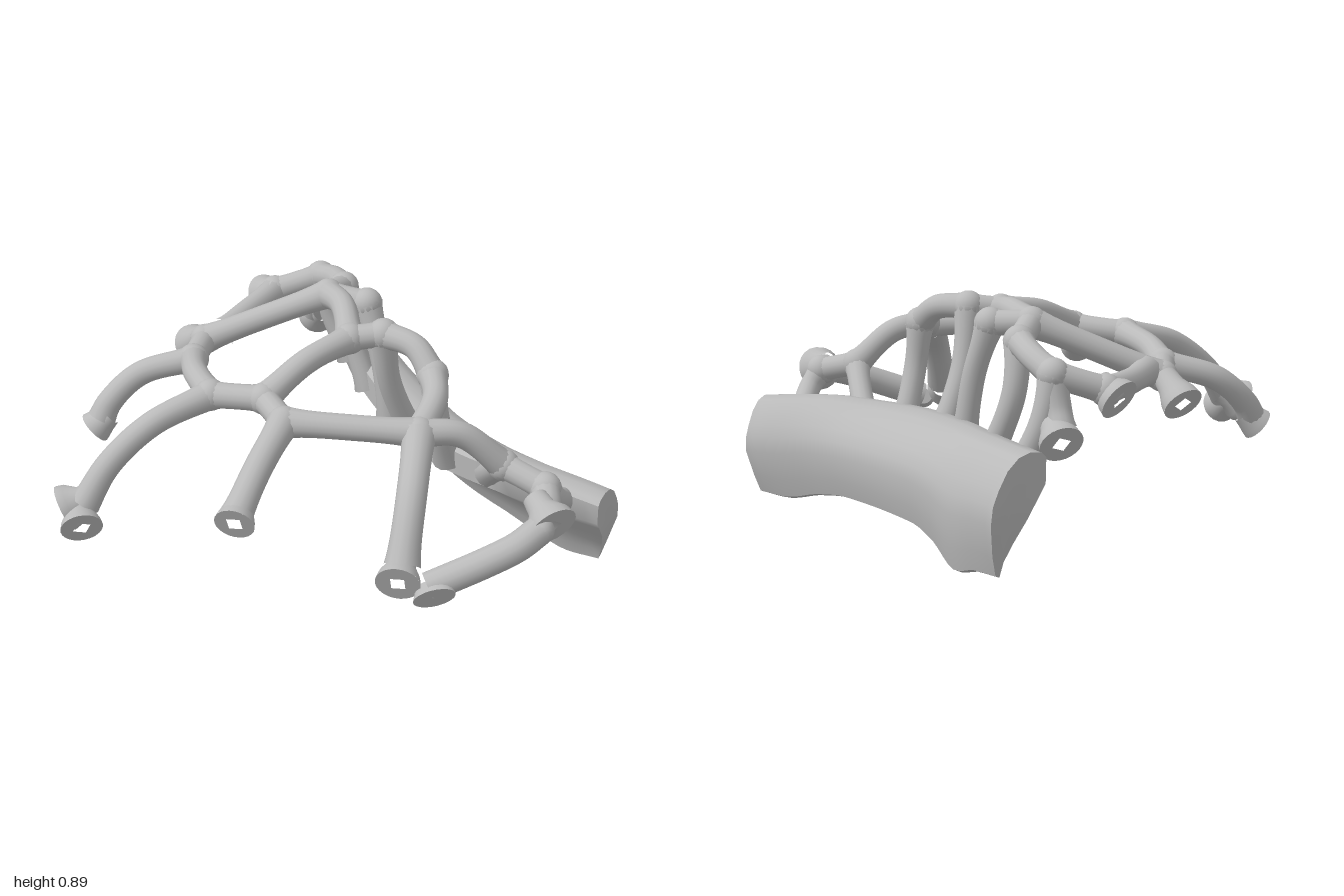
import * as THREE from 'three';
import { toCreasedNormals } from 'three/addons/utils/BufferGeometryUtils.js';

const V = (p) => new THREE.Vector3(...p);
const R = 0.046;
const SWELL = 0.26;

export function createModel() {
  const grey = new THREE.MeshStandardMaterial({ color: 0xbababa });
  grey.name = 'grey';
  const model = new THREE.Group();
  const add = (geo, name, parent = model) => {
    const m = new THREE.Mesh(geo, grey);
    m.name = name;
    parent.add(m);
    return m;
  };

  // Round strut along a smooth path, swelling where it meets its neighbours
  function strut(name, points, r = R, flare = SWELL) {
    const path = new THREE.CatmullRomCurve3(points.map(V), false, 'centripetal');
    const seg = 28, sides = 14;
    const geo = new THREE.TubeGeometry(path, seg, r, sides);
    const pos = geo.attributes.position, v = new THREE.Vector3();
    for (let i = 0; i <= seg; i++) {
      const c = path.getPointAt(i / seg);
      const k = 1 + flare * Math.pow(Math.abs(2 * i / seg - 1), 4);
      for (let j = 0; j <= sides; j++) {
        const n = i * (sides + 1) + j;
        v.fromBufferAttribute(pos, n).sub(c).multiplyScalar(k).add(c);
        pos.setXYZ(n, v.x, v.y, v.z);
      }
    }
    add(geo, name);
  }

  // Flared foot with a flat end and a square socket
  function foot(name, end, dir, r = 0.07, len = 0.1) {
    const g = new THREE.Group();
    g.name = name;
    const bell = new THREE.LatheGeometry([
      [R * 0.95, -len], [R * 1.1, -len * 0.6], [r * 0.92, -len * 0.25], [r, 0],
    ].map(p => new THREE.Vector2(...p)), 20);
    add(bell, 'footBell', g);
    const face = new THREE.Shape().absarc(0, 0, r, 0, Math.PI * 2);
    const h = 0.024;
    face.holes.push(new THREE.Path([[-h, -h], [-h, h], [h, h], [h, -h]].map(p => new THREE.Vector2(...p))));
    add(new THREE.ShapeGeometry(face, 12).rotateX(-Math.PI / 2), 'footFace', g);
    g.position.set(...end);
    g.quaternion.setFromUnitVectors(new THREE.Vector3(0, 1, 0), V(dir).normalize());
    model.add(g);
  }

  // Blade-shaped curved beam, lofted between its inner and outer edges
  const curve = (pts) => new THREE.CatmullRomCurve3(pts.map(V));
  const inner = curve([[-0.18, 0, -0.8], [-0.06, 0, -0.52], [0.09, 0, -0.2], [0.28, 0, 0.08], [0.56, 0, 0.28], [0.92, 0, 0.44]]);
  const outer = curve([[0, 0, -0.945], [0.16, 0, -0.64], [0.32, 0, -0.36], [0.51, 0, -0.11], [0.75, 0, 0.11], [1, 0, 0.23]]);
  // Bottom and top heights at even steps along the beam
  const heights = curve([
    [0.07, 0.5], [0.05, 0.49], [0.01, 0.48], [0.07, 0.47], [0.1, 0.465], [0.1, 0.46],
    [0.1, 0.455], [0.1, 0.45], [0.08, 0.45], [0.05, 0.44], [0.06, 0.42],
  ].map(([low, high]) => [0, low, high]));
  // Outline across the beam (0 inner to 1 outer, 0 bottom to 1 top), fuller towards the ends
  const section = (t) => {
    const e = (2 * t - 1) ** 2;
    return [
      [0, 0.94], [0.08, 0.98], [0.28, 1], [0.5, 0.97], [0.7, 0.88], [0.86, 0.74], [0.96, 0.62],
      [1, 0.47], [0.98, 0.2], [0.93, 0.02], [0.86, 0], [0.78, 0.13], [0.6, 0.36 - 0.08 * e],
      [0.35, 0.52 - 0.06 * e], [0.12, 0.61 + 0.03 * e], [0.01, 0.66 + 0.07 * e],
    ];
  };
  const N = 40, M = section(0).length, pos = [], idx = [];
  const place = (t, s, v) => {
    const a = inner.getPoint(t), b = outer.getPoint(t), h = heights.getPoint(t);
    const under = Math.max(0, 1 - 2 * v); // end faces lean inward below the middle
    pos.push(
      a.x + (b.x - a.x) * s - 0.05 * t ** 4 * under,
      h.y + (h.z - h.y) * v,
      a.z + (b.z - a.z) * s + 0.07 * (1 - t) ** 4 * under);
  };
  for (let i = 0; i <= N; i++) {
    for (const [s, v] of section(i / N)) place(i / N, s, v);
  }
  for (let i = 0; i < N; i++) {
    for (let j = 0; j < M; j++) {
      const a = i * M + j, b = i * M + (j + 1) % M;
      idx.push(a, a + M, b, b, a + M, b + M);
    }
  }
  // End faces fan out from a middle point
  for (const i of [0, N]) {
    const c = pos.length / 3;
    place(i / N, 0.65, 0.58);
    for (let j = 0; j < M; j++) {
      const p = i * M + j, q = i * M + (j + 1) % M;
      if (i) idx.push(c, q, p); else idx.push(c, p, q);
    }
  }
  const beam = new THREE.BufferGeometry();
  beam.setAttribute('position', new THREE.Float32BufferAttribute(pos, 3));
  beam.setIndex(idx);
  add(toCreasedNormals(beam, 0.8), 'beam');

  // Junctions of the lattice
  const A = [-0.59, 0.63, -0.21], B = [-0.6, 0.64, -0.03], C = [-0.47, 0.69, 0.32];
  const D = [-0.27, 0.71, 0.36], E = [-0.18, 0.7, 0.5], F = [0.29, 0.69, 0.5];
  const G = [0, 0.82, 0.08], H = [-0.12, 0.83, -0.25], I = [-0.2, 0.72, -0.63];
  const J = [-0.38, 0.66, -0.6], K = [0.31, 0.75, 0.19], L = [0.58, 0.54, 0.43];
  const P = [0.73, 0.5, 0.5], S = [0.12, 0.835, 0.06], T = [0.03, 0.82, -0.21], W = [-0.08, 0.79, -0.4];
  for (const p of [A, B, C, D, E, F, G, H, I, J, K, L, P, S, T, W]) {
    add(new THREE.SphereGeometry(R * (1 + SWELL), 18, 12), 'junction').position.set(...p);
  }

  // Upper lattice
  const bars = [
    [A, B], [B, [-0.56, 0.67, 0.13], C], [C, D], [D, E], [E, F],
    [D, [-0.14, 0.79, 0.22], G], [G, S], [S, [0.24, 0.82, 0.12], K],
    [K, [0.33, 0.73, 0.32], F], [G, [-0.05, 0.85, -0.12], H], [H, T],
    [A, [-0.38, 0.72, -0.23], H], [H, W], [W, [-0.13, 0.76, -0.53], I], [I, J],
    [J, [-0.47, 0.65, -0.4], [-0.53, 0.65, -0.23]],
    [F, [0.43, 0.67, 0.46], L], [L, P],
  ];
  bars.forEach(b => strut('latticeBar', b));

  // Posts down to the beam
  const posts = [
    [I, [-0.16, 0.55, -0.64], [-0.08, 0.37, -0.62]],
    [W, [-0.06, 0.6, -0.42], [0.02, 0.37, -0.38]],
    [T, [0.09, 0.62, -0.17], [0.13, 0.36, -0.15]],
    [S, [0.14, 0.62, 0.02], [0.22, 0.36, -0.05]],
    [K, [0.33, 0.58, 0.19], [0.37, 0.37, 0.13]],
    [L, [0.56, 0.47, 0.34], [0.53, 0.38, 0.22]],
    [P, [0.77, 0.44, 0.47], [0.79, 0.37, 0.36]],
  ];
  posts.forEach(p => strut('post', p, R * 0.95, 0.35));

  // Legs and their feet
  strut('rightLeg', [B, [-0.8, 0.58, 0], [-0.91, 0.48, 0.05], [-0.94, 0.42, 0.075]], R, 0.15);
  foot('rightFoot', [-0.965, 0.385, 0.085], [-0.7, -0.65, 0.2], 0.065, 0.08);
  strut('frontRightLeg', [C, [-0.66, 0.63, 0.45], [-0.8, 0.51, 0.54], [-0.88, 0.38, 0.61]], R, 0.2);
  foot('frontRightFoot', [-0.95, 0.36, 0.61], [-0.85, -0.4, 0.25], 0.085, 0.11);
  foot('frontRightHook', [-0.875, 0.33, 0.685], [0.3, -0.35, 0.8], 0.075, 0.1);
  strut('middleLeg', [E, [-0.24, 0.63, 0.7], [-0.29, 0.54, 0.88]], 0.05, 0.2);
  foot('middleFoot', [-0.29, 0.53, 0.9], [-0.1, -0.3, 0.9]);
  strut('frontLeg', [F, [0.285, 0.57, 0.7], [0.27, 0.38, 0.86]], 0.053, 0.2);
  foot('frontFoot', [0.26, 0.34, 0.91], [-0.05, -0.25, 0.85], 0.078, 0.12);
  strut('leftLeg', [P, [0.74, 0.48, 0.58], [0.735, 0.475, 0.63]], 0.05, 0.2);
  foot('leftFoot', [0.765, 0.465, 0.69], [0.5, -0.35, 0.75], 0.088, 0.13);
  foot('backRightFoot', [-0.66, 0.55, -0.32], [-0.45, -0.6, -0.65], 0.075, 0.14);
  foot('backMiddleFoot', [-0.425, 0.63, -0.62], [-0.65, -0.5, -0.55], 0.078, 0.1);
  strut('backLeg', [I, [-0.22, 0.6, -0.65], [-0.23, 0.54, -0.68]], R, 0.2);
  foot('backFoot', [-0.23, 0.5, -0.73], [-0.3, -0.5, -0.75], 0.078, 0.12);

  // Cross brace between the two front feet, with a rounded and a flattened end
  strut('frontBrace', [[0.36, 0.315, 0.88], [0.55, 0.39, 0.82], [0.65, 0.43, 0.775], [0.72, 0.46, 0.71]], 0.052, 0);
  add(new THREE.SphereGeometry(0.052, 16, 12), 'braceCap').position.set(0.72, 0.46, 0.71);
  const tip = add(new THREE.CylinderGeometry(0.062, 0.05, 0.05, 20).rotateX(Math.PI / 2), 'braceEnd');
  tip.scale.set(1.2, 0.75, 1);
  tip.position.set(0.38, 0.31, 0.9);
  tip.rotation.set(0.35, 0.2, 0.3);

  return model;
}
